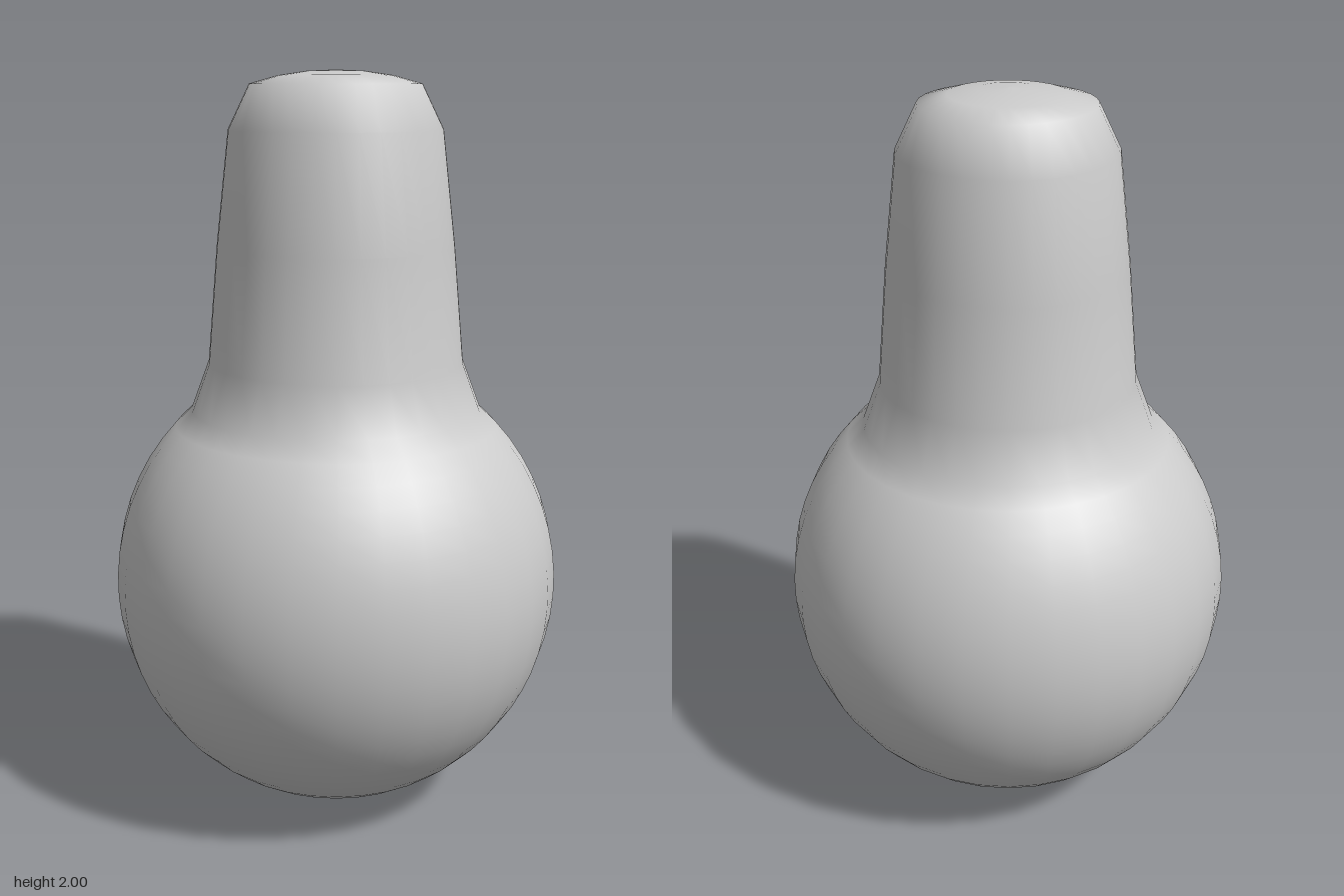
import * as THREE from 'three';

export function createModel() {
  const group = new THREE.Group();
  group.name = 'bulbShape';
  const profile = [];

  // Round bulb: slightly tall ellipse from the bottom pole up to the neck
  const steps = 24, endAngle = 2.44;
  for (let i = 0; i <= steps; i++) {
    const a = (i / steps) * endAngle;
    profile.push(new THREE.Vector2(0.61 * Math.sin(a), 0.63 - 0.628 * Math.cos(a)));
  }

  // Flared, tapering neck with a bevelled shoulder and a shallow domed cap
  const neck = [
    [0.345, 1.24], [0.317, 1.55], [0.282, 1.85], [0.225, 1.965],
    [0.15, 1.986], [0.075, 1.997], [0, 2],
  ];
  for (const [r, y] of neck) profile.push(new THREE.Vector2(r, y));

  // One continuous smooth surface
  const body = new THREE.Mesh(
    new THREE.LatheGeometry(profile, 32),
    new THREE.MeshStandardMaterial({ color: 0xcccccc })
  );
  body.name = 'bulbAndNeck';
  group.add(body);
  return group;
}
